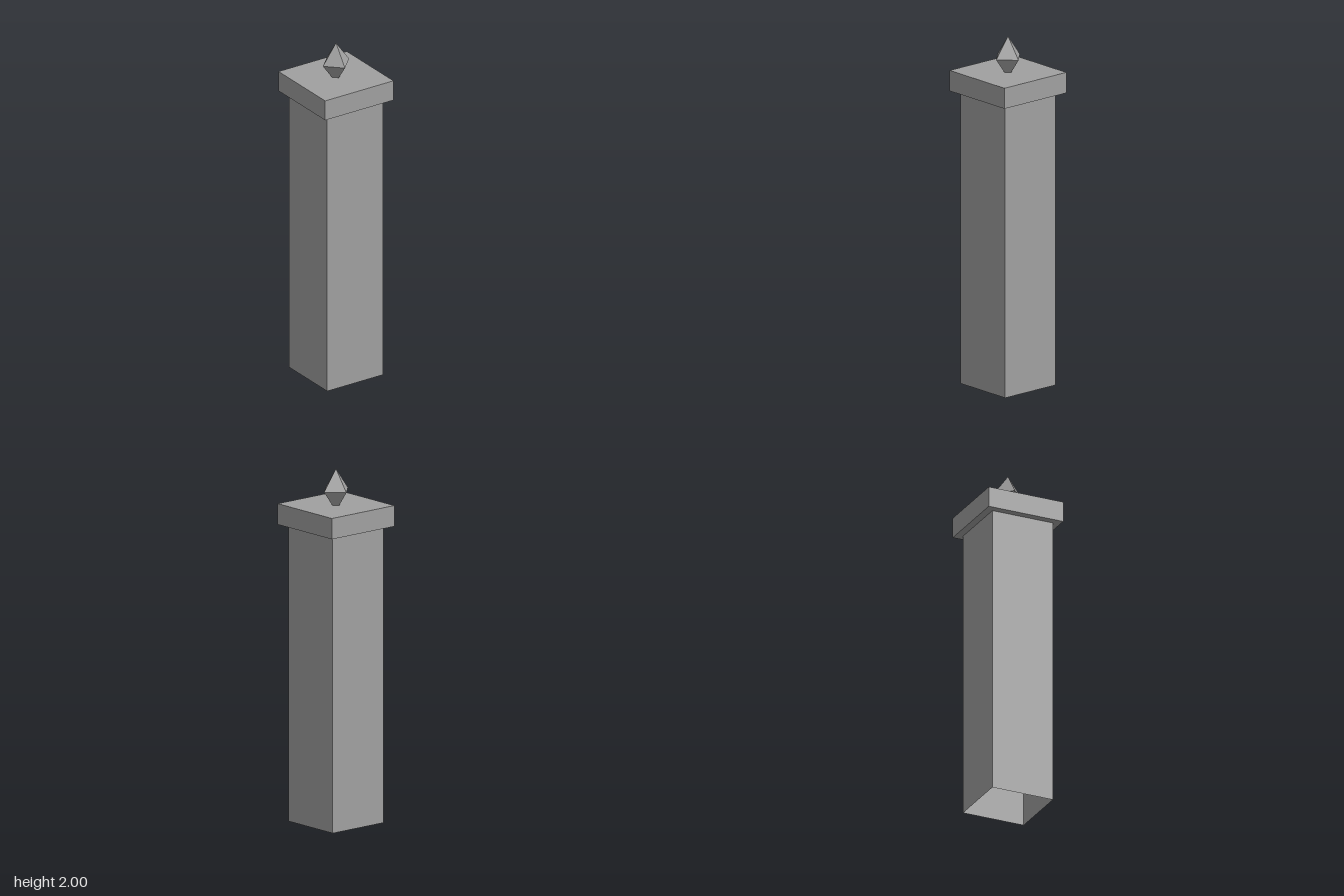
import * as THREE from 'three';

export function createModel() {
  const group = new THREE.Group();
  const stone = new THREE.MeshStandardMaterial({ color: 0xa0a0a0, flatShading: true, side: THREE.DoubleSide });
  stone.name = 'grey stone';

  const add = (name, geometry, y) => {
    const mesh = new THREE.Mesh(geometry, stone);
    mesh.name = name;
    mesh.position.y = y;
    group.add(mesh);
  };

  // Square shaft, hollow and open at the foot
  const shaftHeight = 1.68, shaftHalf = 0.185;
  const shaft = new THREE.CylinderGeometry(shaftHalf * Math.SQRT2, shaftHalf * Math.SQRT2, shaftHeight, 4, 1, true);
  shaft.rotateY(Math.PI / 4);
  add('shaft', shaft, shaftHeight / 2);

  // Overhanging cap slab
  add('cap', new THREE.BoxGeometry(0.455, 0.118, 0.455), 1.738);

  // Stretched octahedron finial, its lower tip sunk into the cap
  const finial = new THREE.OctahedronGeometry(1);
  finial.scale(0.087, 0.12, 0.087);
  add('finial', finial, 1.88);

  return group;
}
